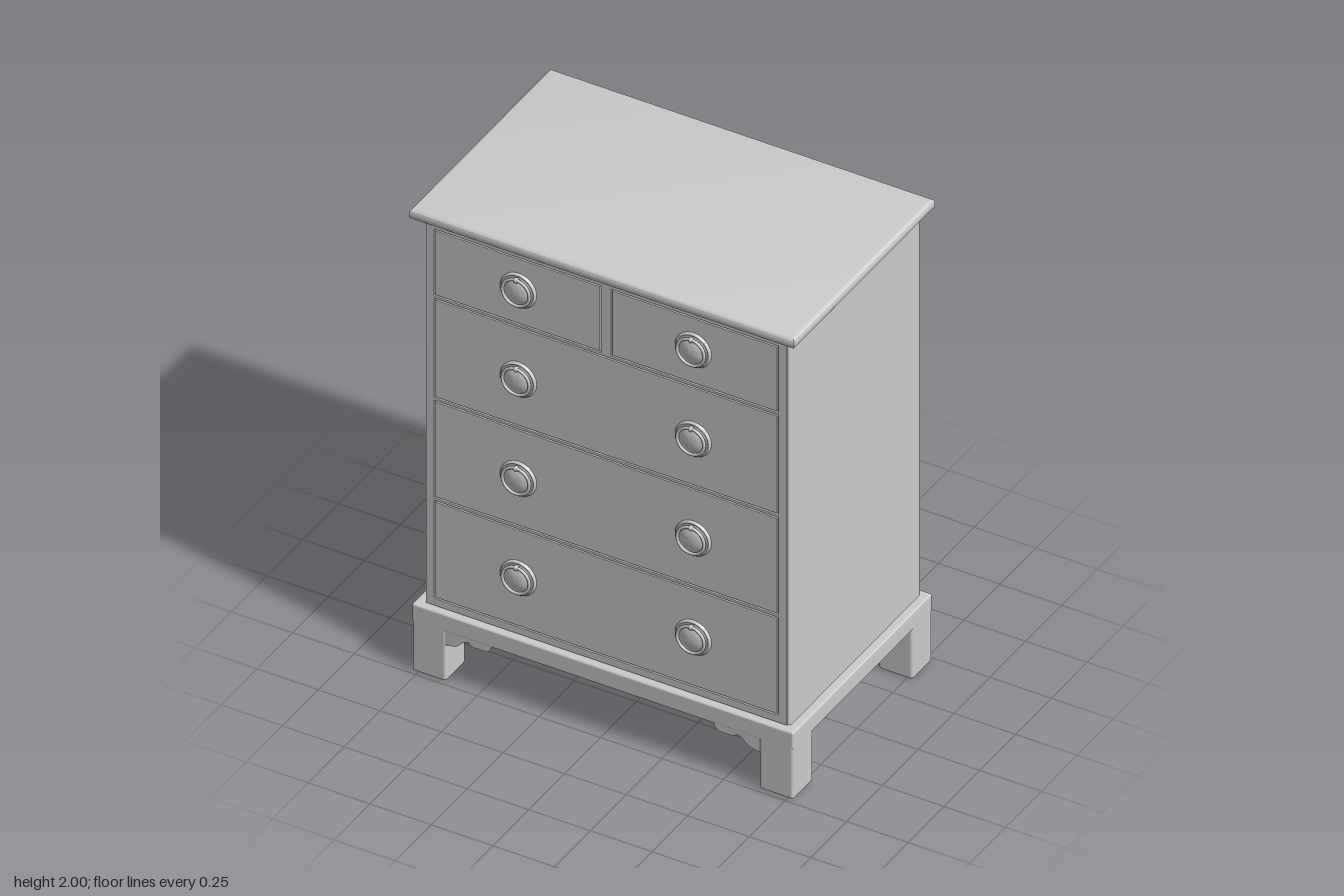
import * as THREE from 'three';
import { toCreasedNormals } from 'three/addons/utils/BufferGeometryUtils.js';
import { RoundedBoxGeometry } from 'three/addons/geometries/RoundedBoxGeometry.js';

const material = new THREE.MeshStandardMaterial({ color: 0xcccccc });

function add(parent, name, geometry, x = 0, y = 0, z = 0) {
  const mesh = new THREE.Mesh(geometry, material);
  mesh.name = name;
  mesh.position.set(x, y, z);
  parent.add(mesh);
  return mesh;
}

const rounded = (w, h, d, r) => new RoundedBoxGeometry(w, h, d, 3, r);

function rectangle(path, x0, y0, x1, y1) {
  return path.moveTo(x0, y0).lineTo(x1, y0).lineTo(x1, y1).lineTo(x0, y1).closePath();
}

// Drawer openings: left, bottom, right, top
const drawers = [
  [-0.7, 1.635, -0.02, 1.925], [0.02, 1.635, 0.7, 1.925],
  [-0.7, 1.193, 0.7, 1.625], [-0.7, 0.76, 0.7, 1.183], [-0.7, 0.325, 0.7, 0.75],
];

// Round backplate with a raised rim and a domed centre, plus a hanging ring
function createPull() {
  const pull = new THREE.Group();
  pull.name = 'drawerPull';
  const profile = [
    [0, 0.022], [0.02, 0.021], [0.038, 0.017], [0.049, 0.01], [0.052, 0.007],
    [0.062, 0.007], [0.066, 0.011], [0.07, 0.01], [0.073, 0.005], [0.073, -0.002],
  ].map(([r, h]) => new THREE.Vector2(r, h)).reverse();
  const plate = toCreasedNormals(new THREE.LatheGeometry(profile, 40), 0.8);
  add(pull, 'backplate', plate.rotateX(Math.PI / 2));
  add(pull, 'ring', new THREE.TorusGeometry(0.055, 0.006, 10, 40), 0, 0, 0.02);
  add(pull, 'ringMount', new THREE.SphereGeometry(0.011, 12, 8), 0, 0.053, 0.018);
  return pull;
}

// Scrolled bracket that runs inward from the side of a leg
function createBracketGeometry() {
  const s = new THREE.Shape();
  s.moveTo(0, 0.23).lineTo(0, 0.16);
  s.quadraticCurveTo(0.045, 0.162, 0.06, 0.18);
  s.quadraticCurveTo(0.075, 0.2, 0.094, 0.204);
  s.quadraticCurveTo(0.102, 0.19, 0.12, 0.19);
  s.lineTo(0.165, 0.19).quadraticCurveTo(0.182, 0.192, 0.188, 0.216);
  s.lineTo(0.188, 0.23).closePath();
  const geometry = new THREE.ExtrudeGeometry(s, { depth: 0.135, bevelEnabled: false, curveSegments: 6 });
  return toCreasedNormals(geometry.translate(0, 0, -0.0675), 0.6);
}

export function createModel() {
  const model = new THREE.Group();
  model.name = 'chestOfDrawers';

  // Carcass, with a front frame pierced for the drawers
  add(model, 'carcass', rounded(1.484, 1.69, 0.912, 0.012), 0, 1.125, -0.004);
  const frame = rectangle(new THREE.Shape(), -0.732, 0.295, 0.732, 1.965);
  for (const d of drawers) frame.holes.push(rectangle(new THREE.Path(), ...d));
  add(model, 'frontFrame', new THREE.ExtrudeGeometry(frame, { depth: 0.012, bevelEnabled: false }), 0, 0, 0.448);

  // Drawer fronts sit flush inside narrow gaps
  const gap = 0.006;
  for (const [x0, y0, x1, y1] of drawers) {
    const front = new THREE.BoxGeometry(x1 - x0 - 2 * gap, y1 - y0 - 2 * gap, 0.02);
    add(model, 'drawerFront', front, (x0 + x1) / 2, (y0 + y1) / 2, 0.45);
  }

  // Two pulls on every row
  for (const y of [1.785, 1.4, 0.97, 0.54]) {
    for (const x of [-0.355, 0.355]) {
      const pull = createPull();
      pull.position.set(x, y, 0.46);
      model.add(pull);
    }
  }

  // Overhanging top with a rounded moulded edge
  const edge = 0.016;
  const plan = rectangle(new THREE.Shape(), -0.782 + edge, -0.492 + edge, 0.782 - edge, 0.492 - edge);
  const top = new THREE.ExtrudeGeometry(plan, {
    depth: 0.045 - 2 * edge, bevelThickness: edge, bevelSize: edge, bevelSegments: 5,
  });
  top.rotateX(-Math.PI / 2);
  add(model, 'top', toCreasedNormals(top, 0.6), 0, 1.955 + edge, 0);

  // Plinth, block legs and scrolled brackets on the front and back
  add(model, 'plinth', rounded(1.55, 0.075, 0.972, 0.008), 0, 0.2535, 0);
  const bracket = createBracketGeometry();
  for (const x of [-1, 1]) {
    for (const z of [-1, 1]) {
      add(model, 'leg', rounded(0.139, 0.285, 0.139, 0.012), x * 0.7055, 0.1425, z * 0.4165);
      const piece = add(model, 'legBracket', bracket, x * 0.64, 0, z * 0.417);
      if (x > 0) piece.rotation.y = Math.PI;
    }
  }
  return model;
}
